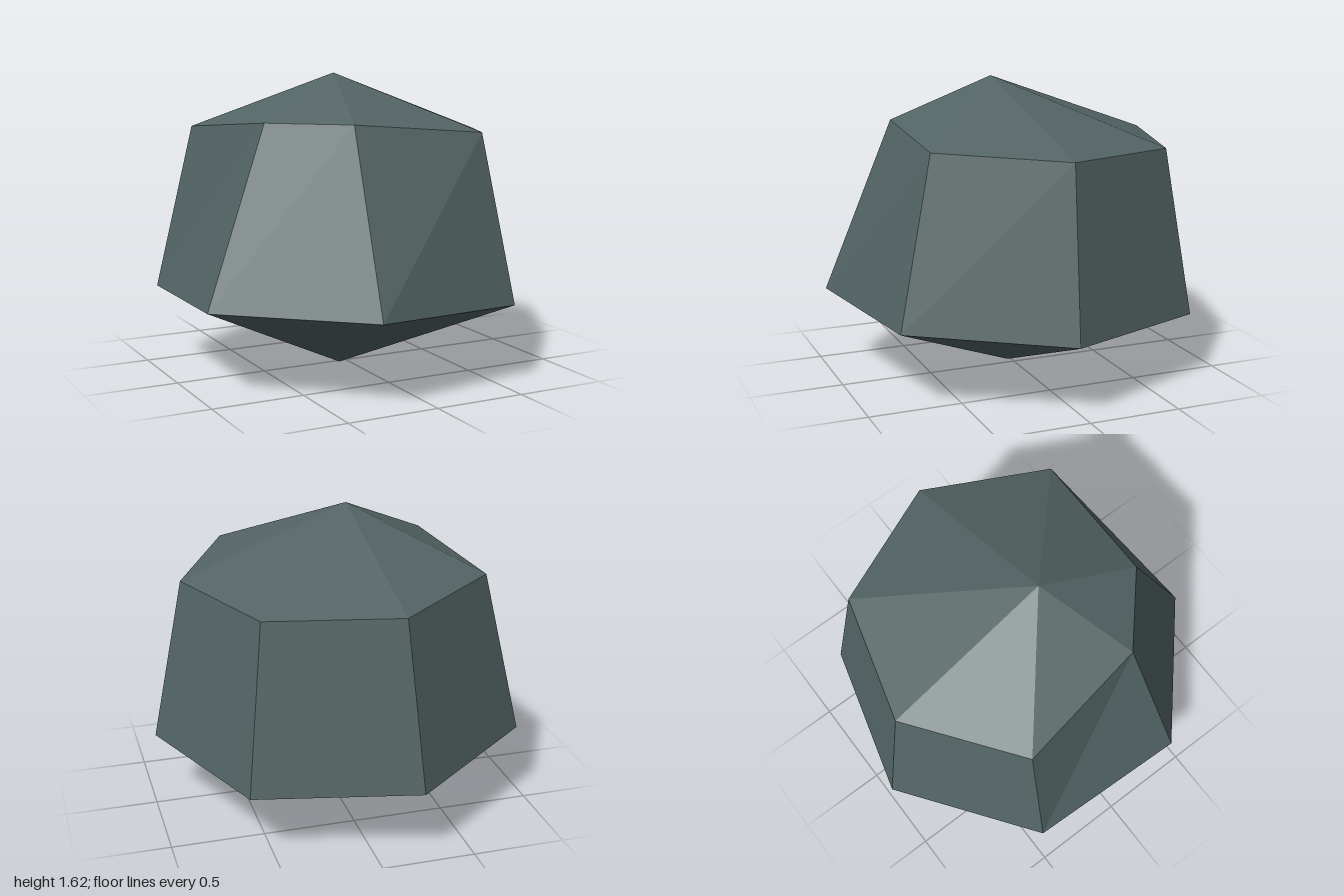
import * as THREE from 'three';

// Corner rings of the seven-sided boulder, running from +x towards +z
const lowerRing = [
  [0.98, 0.39, 0.05], [0.56, 0.43, 0.84], [-0.31, 0.46, 1.0], [-0.98, 0.46, 0.41],
  [-0.94, 0.43, -0.48], [-0.22, 0.39, -1.0], [0.63, 0.37, -0.77],
];
const upperRing = [
  [0.81, 1.285, 0.01], [0.47, 1.32, 0.64], [-0.27, 1.385, 0.62], [-0.62, 1.385, 0.31],
  [-0.74, 1.32, -0.42], [-0.16, 1.285, -0.84], [0.53, 1.27, -0.65],
];
const peak = [-0.12, 1.62, 0.09];
const foot = [-0.05, 0, 0.02];

export function createModel() {
  const stone = new THREE.MeshStandardMaterial({ color: 0x536464, flatShading: true });
  stone.name = 'slate stone';

  const points = [];
  const n = lowerRing.length;
  for (let i = 0; i < n; i++) {
    const j = (i + 1) % n;
    const [a, b, c, d] = [lowerRing[i], lowerRing[j], upperRing[i], upperRing[j]];
    points.push(...foot, ...a, ...b); // underside
    points.push(...b, ...a, ...c, ...b, ...c, ...d); // side wall
    points.push(...peak, ...d, ...c); // cap
  }
  const geometry = new THREE.BufferGeometry();
  geometry.setAttribute('position', new THREE.Float32BufferAttribute(points, 3));
  geometry.computeVertexNormals();

  const boulder = new THREE.Mesh(geometry, stone);
  boulder.name = 'boulder';
  const group = new THREE.Group();
  group.name = 'rock';
  group.add(boulder);
  return group;
}
